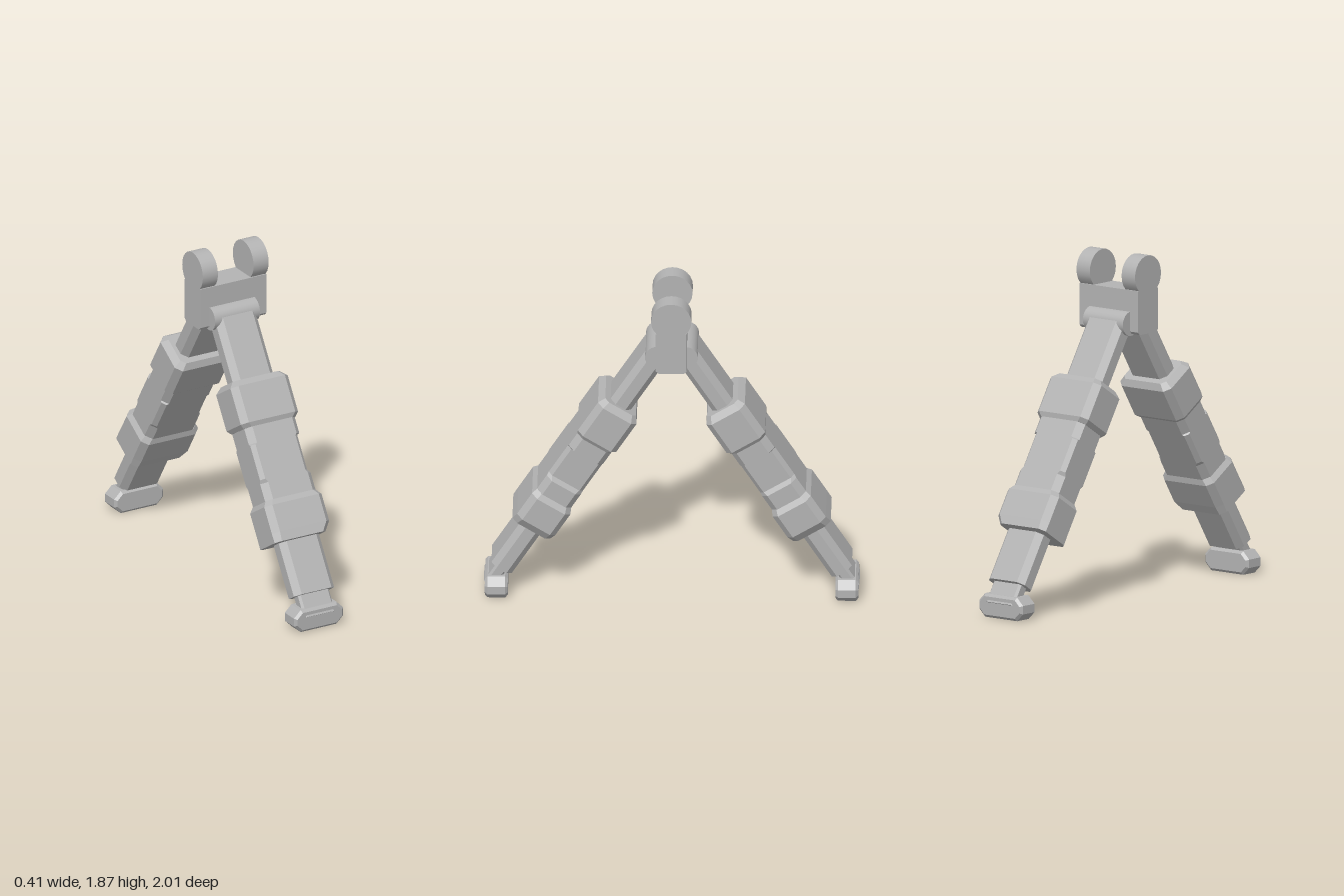
import * as THREE from 'three';

const metal = new THREE.MeshStandardMaterial({ color: 0xb3b3b3 });
metal.name = 'grey metal';

const LEAN = 0.563;              // splay of each leg from vertical
const PIVOT = { y: 1.5, z: 0.075 };

function add(parent, name, geometry) {
  const mesh = new THREE.Mesh(geometry, metal);
  mesh.name = name;
  parent.add(mesh);
  return mesh;
}

// Rectangle with cut corners, counter-clockwise
function octagon(x0, x1, z0, z1, c) {
  return [[x1, z0 + c], [x1, z1 - c], [x1 - c, z1], [x0 + c, z1],
    [x0, z1 - c], [x0, z0 + c], [x0 + c, z0], [x1 - c, z0]];
}

// Flat-faced loft down the leg; sections are [distance, xMin, xMax, halfThickness, corner]
function loft(sections, side) {
  const rings = sections.map(([s, lo, hi, t, c]) =>
    octagon(side > 0 ? lo : -hi, side > 0 ? hi : -lo, -t, t, c).map(([x, z]) => [x, -s, z]));
  const pos = [];
  const tri = (a, b, c) => pos.push(...a, ...b, ...c);
  for (let r = 0; r < rings.length - 1; r++) {
    const a = rings[r], b = rings[r + 1];
    for (let i = 0; i < 8; i++) {
      const j = (i + 1) % 8;
      tri(a[i], a[j], b[j]);
      tri(a[i], b[j], b[i]);
    }
  }
  const first = rings[0], last = rings[rings.length - 1];
  for (let i = 1; i < 7; i++) {
    tri(first[0], first[i + 1], first[i]);
    tri(last[0], last[i], last[i + 1]);
  }
  const g = new THREE.BufferGeometry();
  g.setAttribute('position', new THREE.Float32BufferAttribute(pos, 3));
  g.computeVertexNormals();
  return g;
}

// Cylinder lying along x
function crossCylinder(radius, x0, x1, sides) {
  return new THREE.CylinderGeometry(radius, radius, x1 - x0, sides)
    .rotateZ(Math.PI / 2).translate((x0 + x1) / 2, 0, 0);
}

function makeLeg(name, side) {
  const leg = new THREE.Group();
  leg.name = name;
  const cx = -0.009 * side;

  // Leaning parts, measured down from the pivot
  const strut = new THREE.Group();
  strut.name = 'strut';
  strut.position.set(0, PIVOT.y, PIVOT.z);
  strut.rotation.x = -LEAN;
  leg.add(strut);

  add(strut, 'hinge', crossCylinder(0.067, cx - 0.14, cx + 0.14, 24));
  add(strut, 'tube', loft([
    [0, -0.133, 0.118, 0.064, 0.033],
    [1.566, -0.133, 0.118, 0.064, 0.033]], side));
  add(strut, 'upperCollar', loft([
    [0.37, -0.155, 0.138, 0.097, 0.024],
    [0.403, -0.187, 0.17, 0.122, 0.034],
    [0.606, -0.187, 0.17, 0.122, 0.034],
    [0.63, -0.17, 0.153, 0.108, 0.034]], side));
  // Sleeve with a shallow recess on one side
  add(strut, 'sleeve', loft([
    [0.6, -0.166, 0.149, 0.108, 0.034],
    [0.72, -0.166, 0.149, 0.108, 0.034],
    [0.727, -0.166, 0.127, 0.108, 0.022],
    [0.92, -0.166, 0.127, 0.108, 0.022],
    [0.94, -0.166, 0.149, 0.108, 0.034],
    [1.08, -0.166, 0.149, 0.108, 0.034]], side));
  add(strut, 'lowerCollar', loft([
    [1.036, -0.165, 0.148, 0.108, 0.03],
    [1.066, -0.187, 0.17, 0.121, 0.034],
    [1.216, -0.187, 0.17, 0.121, 0.034],
    [1.268, -0.187, 0.13, 0.119, 0.03]], side));
  add(strut, 'ankle', loft([
    [1.5, -0.104, 0.088, 0.034, 0.012],
    [1.69, -0.104, 0.088, 0.034, 0.012]], side));

  // Upright foot with bevelled faces
  const bevel = 0.014;
  const outline = octagon(cx - 0.153 + bevel, cx + 0.153 - bevel, 0.002 + bevel, 0.13 - bevel, 0.033);
  const shape = new THREE.Shape(outline.map(([x, y]) => new THREE.Vector2(x, y)));
  const foot = new THREE.ExtrudeGeometry(shape, {
    depth: 0.123 - 2 * bevel, bevelEnabled: true, bevelSegments: 1,
    bevelSize: bevel, bevelThickness: bevel });
  add(leg, 'foot', foot.translate(0, 0, 0.877 + bevel));

  if (side < 0) leg.rotation.y = Math.PI;
  return leg;
}

export function createModel() {
  const model = new THREE.Group();
  model.name = 'bipod';

  // Head block with chamfered lower edges
  const profile = new THREE.Shape([
    [-0.068, 1.443], [0.068, 1.443], [0.083, 1.458],
    [0.083, 1.683], [-0.083, 1.683], [-0.083, 1.458],
  ].map(([z, y]) => new THREE.Vector2(z, y)));
  const block = new THREE.ExtrudeGeometry(profile, { depth: 0.41, bevelEnabled: false });
  add(model, 'headBlock', block.rotateY(Math.PI / 2).translate(-0.205, 0, 0));

  // Mounting lugs
  for (const side of [1, -1]) {
    const lug = crossCylinder(0.108, side > 0 ? 0.111 : -0.205, side > 0 ? 0.205 : -0.111, 24);
    add(model, side > 0 ? 'leftLug' : 'rightLug', lug).position.y = 1.76;
  }

  model.add(makeLeg('frontLeg', 1), makeLeg('backLeg', -1));
  return model;
}
